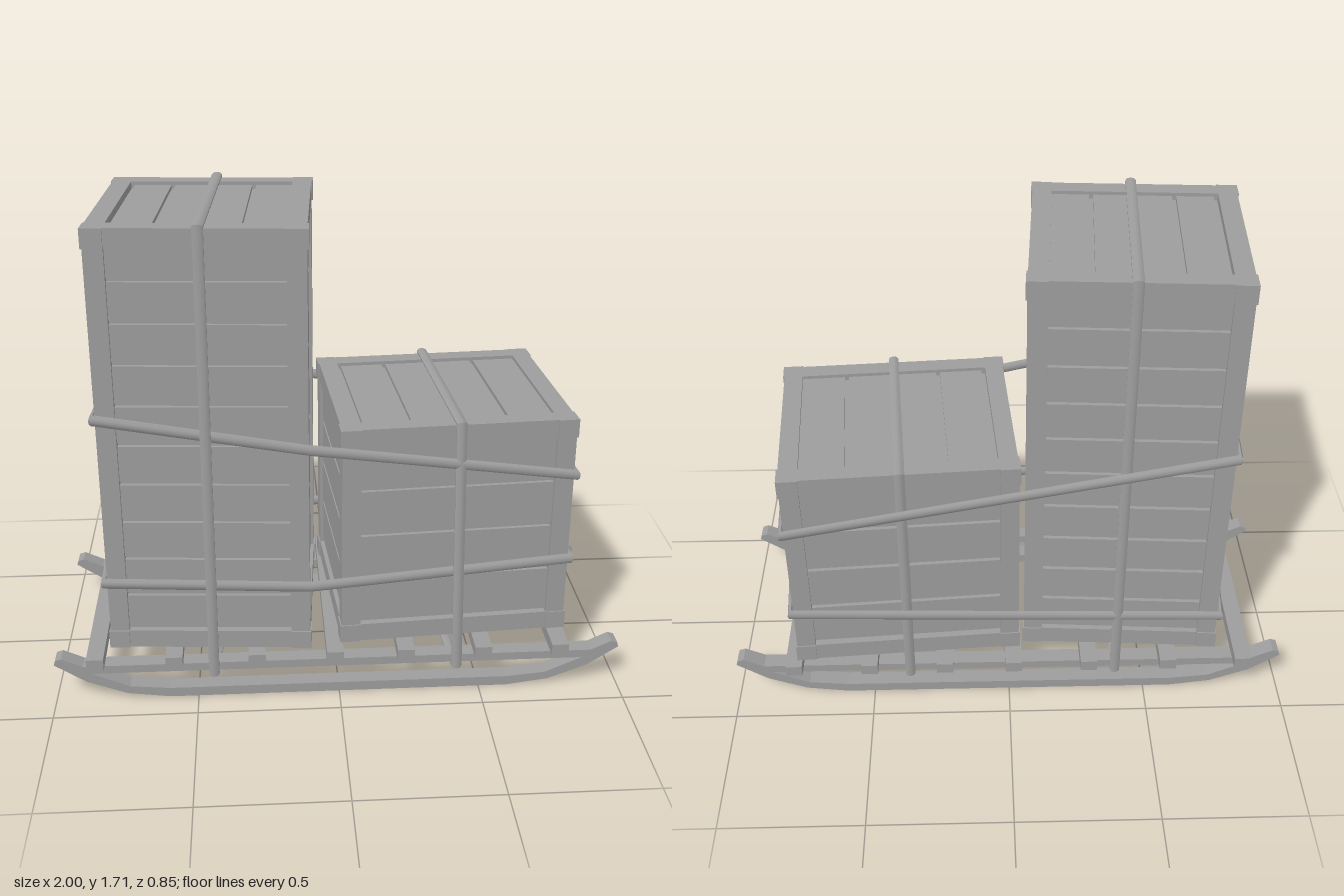
import * as THREE from 'three';
import { toCreasedNormals } from 'three/addons/utils/BufferGeometryUtils.js';

const material = new THREE.MeshStandardMaterial({ color: 0x9d9d9d });

function add(parent, name, geometry, x = 0, y = 0, z = 0) {
  const mesh = new THREE.Mesh(geometry, material);
  mesh.name = name;
  mesh.position.set(x, y, z);
  parent.add(mesh);
  return mesh;
}

const box = (parent, name, w, h, d, x, y, z) =>
  add(parent, name, new THREE.BoxGeometry(w, h, d), x, y, z);

// Closed flattened rope through corner points, mitred at each corner
function ropeLoop(corners, axis, halfWidth = 0.019, halfThick = 0.01, sides = 10) {
  const pts = corners.map(c => new THREE.Vector3(...c));
  const n = pts.length, positions = [], index = [];
  const sideNormal = (a, b) => b.clone().sub(a).cross(axis).normalize();
  for (let i = 0; i < n; i++) {
    const n0 = sideNormal(pts[(i + n - 1) % n], pts[i]);
    const n1 = sideNormal(pts[i], pts[(i + 1) % n]);
    const miter = n0.clone().add(n1).divideScalar(1 + n0.dot(n1));
    for (let j = 0; j < sides; j++) {
      const a = (j / sides) * Math.PI * 2;
      const p = pts[i].clone()
        .addScaledVector(miter, Math.cos(a) * halfThick)
        .addScaledVector(axis, Math.sin(a) * halfWidth);
      positions.push(p.x, p.y, p.z);
      const k = (j + 1) % sides, m = (i + 1) % n;
      const A = i * sides + j, B = m * sides + j, C = i * sides + k, D = m * sides + k;
      index.push(A, B, C, C, B, D);
    }
  }
  const g = new THREE.BufferGeometry();
  g.setAttribute('position', new THREE.Float32BufferAttribute(positions, 3));
  g.setIndex(index);
  return toCreasedNormals(g, 0.75);
}

// Framed crate with recessed planks on all six faces, standing on local y = 0
function crate({ name, w, h, d, rows, rowStart, rowPitch }) {
  const g = new THREE.Group();
  g.name = name;
  const f = 0.066, recess = 0.012, thick = 0.014, gap = 0.014, proud = 0.005;
  const inset = recess + thick;
  box(g, 'core', w - 2 * inset, h - 2 * inset, d - 2 * inset, 0, h / 2, 0);

  // Frame: corner posts, the bars between them, and slightly proud corner blocks
  for (const s of [-1, 1]) {
    for (const t of [-1, 1]) {
      box(g, 'cornerPost', f, h - 2 * f, f, s * (w - f) / 2, h / 2, t * (d - f) / 2);
      const y = h / 2 + t * (h - f) / 2;
      box(g, 'frameBar', w - 2 * f, f, f, 0, y, s * (d - f) / 2);
      box(g, 'frameBar', f, f, d - 2 * f, s * (w - f) / 2, y, 0);
      for (const u of [-1, 1]) {
        box(g, 'cornerBlock', f + proud, f, f + proud,
          s * (w - f + proud) / 2, y, u * (d - f + proud) / 2);
      }
    }
  }

  // Horizontal planks on the four walls, each with a groove below it
  const off = recess + thick / 2;
  for (let i = 0; i < rows; i++) {
    const y = rowStart + (i + 0.5) * rowPitch + gap / 2;
    for (const s of [-1, 1]) {
      box(g, 'wallPlank', w - 2 * f, rowPitch - gap, thick, 0, y, s * (d / 2 - off));
      box(g, 'wallPlank', thick, rowPitch - gap, d - 2 * f, s * (w / 2 - off), y, 0);
    }
  }

  // Lid and floor planks running front to back, each with a groove beside it
  const columns = 4, colPitch = (w - 2 * f) / columns;
  for (let i = 0; i < columns; i++) {
    const x = -w / 2 + f + (i + 0.5) * colPitch + gap / 2;
    for (const s of [-1, 1]) {
      box(g, 'lidPlank', colPitch - gap, thick, d - 2 * f, x, h / 2 + s * (h / 2 - off), 0);
    }
  }
  return g;
}

// Runner: upturned blade joined to a straight top rail
function runnerGeometry(depth) {
  const half = [[0.6, 0], [0.75, 0.02], [0.89, 0.073], [1, 0.145], [0.995, 0.162], [0.973, 0.169], [0.9, 0.135]];
  const inner = [[0.6, 0.035], [0.74, 0.048], [0.87, 0.105]];
  const mirrored = pts => pts.concat(pts.map(([x, y]) => [-x, y]).reverse())
    .map(([x, y]) => new THREE.Vector2(x, y));
  const shape = new THREE.Shape(mirrored(half));
  shape.holes.push(new THREE.Path(mirrored(inner)));
  const g = new THREE.ExtrudeGeometry(shape, { depth, bevelEnabled: false });
  g.translate(0, 0, -depth / 2);
  return g;
}

export function createModel() {
  const model = new THREE.Group();
  model.name = 'loadedSled';

  // Sled
  const sled = new THREE.Group();
  sled.name = 'sled';
  model.add(sled);
  for (const z of [0.365, -0.352]) add(sled, 'runner', runnerGeometry(0.06), 0, 0, z);
  for (const x of [-0.855, -0.58, -0.29, -0.015, 0.235, 0.51, 0.785]) {
    box(sled, 'crossSlat', 0.06, 0.042, 0.85, x, 0.155, -0.005);
  }

  // Crates, each slightly turned, with a strap over the lid and under the rails
  const base = 0.18;
  const loads = [
    { name: 'tallCrate', w: 0.7, h: 1.51, d: 0.705, rows: 10, rowStart: 0.06, rowPitch: 0.1415,
      x: -0.428, z: 0.012, turn: -0.066, strapX: 0.012 },
    { name: 'shortCrate', w: 0.805, h: 0.815, d: 0.7, rows: 4, rowStart: 0.066, rowPitch: 0.171,
      x: 0.389, z: -0.018, turn: 0.067, strapX: 0 },
  ];
  for (const c of loads) {
    const g = crate(c);
    g.position.set(c.x, base, c.z);
    g.rotation.y = c.turn;
    const low = 0.097 - base, top = c.h + 0.006, edge = c.d / 2 + 0.008;
    const strap = [
      [c.strapX, low, 0.403 - c.z], [c.strapX, top, edge],
      [c.strapX, top, -edge], [c.strapX, low, -0.389 - c.z],
    ];
    add(g, 'verticalStrap', ropeLoop(strap, new THREE.Vector3(1, 0, 0)));
    model.add(g);
  }

  // Ropes binding both crates together
  const corners = [[-0.809, 0.349], [-0.099, 0.396], [0.822, 0.312], [0.775, -0.403], [-0.763, -0.373]];
  const heights = {
    upperRope: [1.05, 0.945, 0.79, 0.77, 1.04],
    lowerRope: [0.44, 0.43, 0.465, 0.41, 0.34],
  };
  for (const [name, ys] of Object.entries(heights)) {
    const pts = corners.map(([x, z], i) => [x, ys[i], z]);
    add(model, name, ropeLoop(pts, new THREE.Vector3(0, 1, 0)));
  }
  return model;
}
